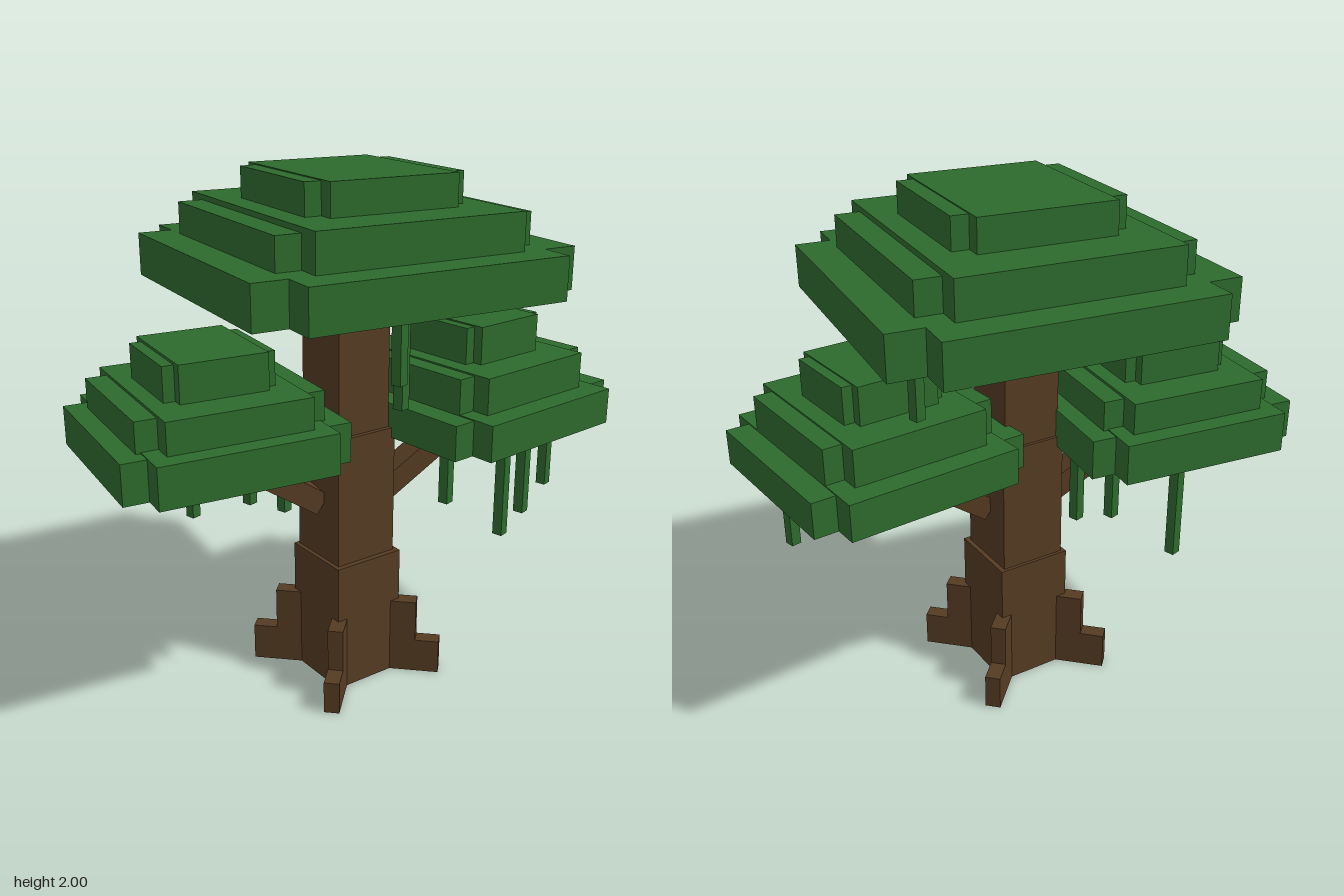
import * as THREE from 'three';

const leafGreen = new THREE.MeshStandardMaterial({ color: 0x2d6a2d });
leafGreen.name = 'leafGreen';
const barkBrown = new THREE.MeshStandardMaterial({ color: 0x553b22 });
barkBrown.name = 'barkBrown';

// Box standing between two heights, turned by deg from +x toward +z
function block(name, mat, w, d, x, z, y0, y1, deg = 0) {
  const mesh = new THREE.Mesh(new THREE.BoxGeometry(w, y1 - y0, d), mat);
  mesh.name = name;
  mesh.position.set(x, (y0 + y1) / 2, z);
  mesh.rotation.y = -THREE.MathUtils.degToRad(deg);
  return mesh;
}

// Stepped canopy: every layer is two crossed slabs, [long half, short half, bottom, top, drop]
function canopy(name, x, z, deg, layers) {
  const g = new THREE.Group();
  g.name = name;
  for (const [long, short, y0, y1, drop] of layers) {
    g.add(block('leafSlabDeep', leafGreen, short * 2, long * 2, x, z, y0, y1, deg));
    g.add(block('leafSlabWide', leafGreen, long * 2, short * 2, x, z, y0, y1 - drop, deg));
  }
  return g;
}

// Slanted square beam between two points
function branch(name, a, b) {
  const from = new THREE.Vector3(...a), to = new THREE.Vector3(...b);
  const mesh = new THREE.Mesh(new THREE.BoxGeometry(0.11, 0.09, from.distanceTo(to)), barkBrown);
  mesh.name = name;
  mesh.position.copy(from).lerp(to, 0.5);
  mesh.lookAt(to);
  return mesh;
}

export function createModel() {
  const tree = new THREE.Group();
  tree.name = 'tree';

  // Trunk in three shrinking blocks
  const trunk = new THREE.Group();
  trunk.name = 'trunk';
  trunk.add(
    block('trunkBase', barkBrown, 0.3, 0.3, 0.0075, 0.0325, 0, 0.525, 14.5),
    block('trunkMiddle', barkBrown, 0.265, 0.265, 0.0075, 0.028, 0.525, 1.04, 14.5),
    block('trunkTop', barkBrown, 0.233, 0.233, 0.0075, 0.025, 1.04, 1.565, 14.5),
  );
  tree.add(trunk);

  // Stepped roots at the trunk corners: [angle, low height, tall height]
  const roots = new THREE.Group();
  roots.name = 'roots';
  for (const [deg, low, tall] of [[59.5, 0.14, 0.31], [-30.5, 0.14, 0.31], [149.5, 0.13, 0.3], [239.5, 0.15, 0.32]]) {
    const a = THREE.MathUtils.degToRad(deg);
    for (const [len, h, part] of [[0.38, low, 'rootToe'], [0.285, tall, 'rootShoulder']]) {
      const mid = (len + 0.1) / 2;
      roots.add(block(part, barkBrown, len - 0.1, 0.06,
        0.0075 + Math.cos(a) * mid, 0.0325 + Math.sin(a) * mid, 0, h, deg));
    }
  }
  tree.add(roots);

  tree.add(
    branch('leftBranch', [0.117, 0.742, 0.08], [0.507, 1.03, 0.264]),
    branch('rightBranch', [-0.108, 0.753, -0.018], [-0.458, 1.013, -0.208]),
  );

  tree.add(
    canopy('topCanopy', 0.065, -0.003, 21.5,
      [[0.635, 0.503, 1.58, 1.74, 0], [0.505, 0.41, 1.74, 1.88, 0.02], [0.318, 0.255, 1.86, 2, 0.004]]),
    canopy('leftCanopy', 0.51, 0.257, 9.9,
      [[0.428, 0.337, 1, 1.14, 0.004], [0.337, 0.265, 1.135, 1.28, 0.006], [0.197, 0.157, 1.27, 1.425, 0.005]]),
    canopy('rightCanopy', -0.475, -0.245, 22,
      [[0.426, 0.334, 1, 1.155, 0.004], [0.352, 0.272, 1.14, 1.275, 0.01], [0.21, 0.167, 1.26, 1.415, 0.01]]),
  );

  // Hanging vines: [x, z, bottom, top]
  const vines = new THREE.Group();
  vines.name = 'vines';
  for (const [x, z, y0, y1] of [
    [0.405, 0.58, 0.7, 1.02], [0.325, 0.54, 0.62, 1.02], [0.755, 0.48, 0.68, 1.02], [0.195, 0.37, 0.75, 1.02],
    [-0.21, -0.285, 0.7, 1.02], [-0.29, -0.53, 0.6, 1.02], [-0.135, -0.17, 0.675, 1.02],
    [-0.21, 0.435, 1.335, 1.6], [-0.17, 0.415, 1.235, 1.6], [0.53, 0.18, 1.27, 1.6], [0.555, -0.04, 1.3, 1.6],
  ]) vines.add(block('vine', leafGreen, 0.04, 0.04, x, z, y0, y1));
  tree.add(vines);

  return tree;
}
